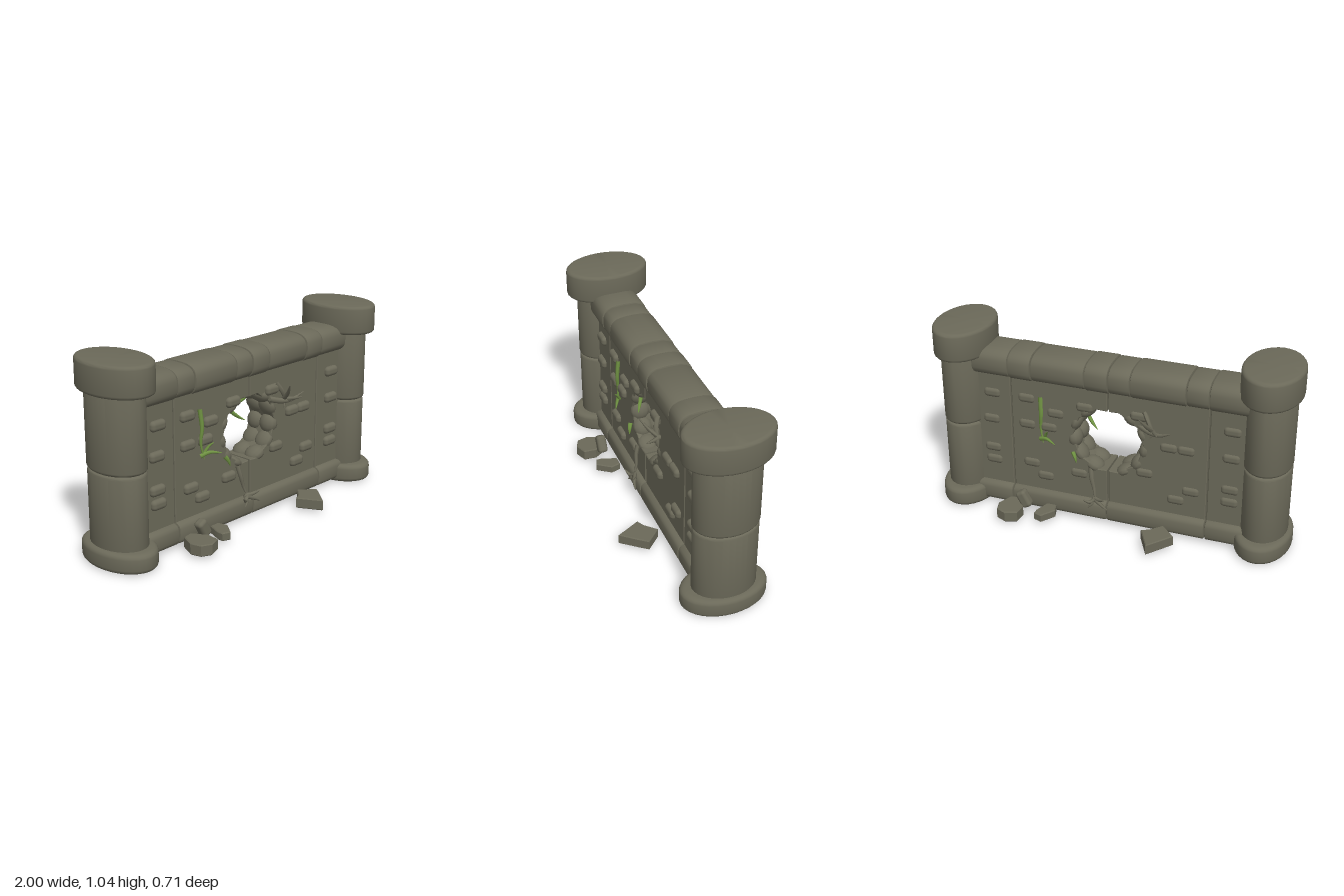
import * as THREE from 'three';
import { toCreasedNormals } from 'three/addons/utils/BufferGeometryUtils.js';
import { RoundedBoxGeometry } from 'three/addons/geometries/RoundedBoxGeometry.js';

export function createModel() {
  const root = new THREE.Group();
  root.name = 'ruinedWall';
  const stone = new THREE.MeshStandardMaterial({ color: 0x6b6959 });
  stone.name = 'stone';
  const vineGreen = new THREE.MeshStandardMaterial({ color: 0x6f9142 });
  vineGreen.name = 'vineGreen';

  function add(parent, name, geo, mat = stone) {
    const mesh = new THREE.Mesh(geo, mat);
    mesh.name = name;
    parent.add(mesh);
    return mesh;
  }
  const V = (x, y, z) => new THREE.Vector3(x, y, z);
  const shapeOf = pts => new THREE.Shape(pts.map(p => new THREE.Vector2(p[0], p[1])));

  // Extrusion whose bevel stays inside the outline
  function slab(shape, depth, bevel, steps = 2) {
    const geo = new THREE.ExtrudeGeometry(shape, {
      depth: depth - 2 * bevel, bevelEnabled: true, bevelSize: bevel, bevelOffset: -bevel,
      bevelThickness: bevel, bevelSegments: steps, curveSegments: 8,
    });
    geo.translate(0, 0, bevel);
    return toCreasedNormals(geo, 0.6);
  }

  // Rounded bar section running along x
  function bar(x0, x1, y0, y1, halfZ, power) {
    const pts = [];
    for (let i = 0; i < 32; i++) {
      const a = i / 32 * Math.PI * 2, c = Math.cos(a), s = Math.sin(a);
      pts.push([
        Math.sign(c) * Math.abs(c) ** (2 / power) * halfZ,
        (y0 + y1) / 2 + Math.sign(s) * Math.abs(s) ** (2 / power) * (y1 - y0) / 2,
      ]);
    }
    const geo = slab(shapeOf(pts), x1 - x0, 0.008);
    geo.rotateY(Math.PI / 2);
    geo.translate(x0, 0, 0);
    return geo;
  }

  // Stone drum with rounded rims, oval in plan
  function drum(rx, rz, y0, y1, round) {
    const pts = [new THREE.Vector2(0, y0)];
    for (const [cy, start] of [[y0 + round, -Math.PI / 2], [y1 - round, 0]]) {
      for (let i = 0; i <= 4; i++) {
        const a = start + i / 4 * Math.PI / 2;
        pts.push(new THREE.Vector2(rx - round + Math.cos(a) * round, cy + Math.sin(a) * round));
      }
    }
    pts.push(new THREE.Vector2(0, y1));
    const geo = new THREE.LatheGeometry(pts, 32);
    geo.scale(1, 1, rz / rx);
    return toCreasedNormals(geo, 0.6);
  }

  // Tapering stem swept through a few points
  function stem(points, radius, tip = 0.15) {
    const path = new THREE.CatmullRomCurve3(points);
    const rings = 12, sides = 7;
    const geo = new THREE.TubeGeometry(path, rings, radius, sides, false);
    const pos = geo.attributes.position, v = V(0, 0, 0);
    for (let i = 0; i < pos.count; i++) {
      const t = Math.floor(i / (sides + 1)) / rings;
      const centre = path.getPointAt(t);
      v.fromBufferAttribute(pos, i).sub(centre).multiplyScalar(1 - (1 - tip) * t ** 2).add(centre);
      pos.setXYZ(i, v.x, v.y, v.z);
    }
    geo.computeVertexNormals();
    return geo;
  }

  const wall = new THREE.Group();
  wall.name = 'wall';
  wall.position.z = -0.007;
  root.add(wall);

  // End pillars
  for (const side of [-1, 1]) {
    const pillar = new THREE.Group();
    pillar.name = side < 0 ? 'rightPillar' : 'leftPillar';
    pillar.position.x = side * 0.845;
    add(pillar, 'pillarBase', drum(0.152, 0.23, 0, 0.105, 0.025));
    add(pillar, 'lowerDrum', drum(0.125, 0.17, 0.09, 0.488, 0.015));
    add(pillar, 'upperDrum', drum(0.127, 0.174, 0.488, 0.9, 0.018));
    const cap = add(pillar, 'pillarCap', drum(0.158, 0.232, 0.883, 1.045, 0.018));
    cap.position.x = -side * 0.004;
    wall.add(pillar);
  }

  // Coping stones along the top
  const cuts = [-0.76, -0.55, -0.43, -0.13, -0.01, 0.12, 0.42, 0.55, 0.76];
  for (let i = 0; i < cuts.length - 1; i++) {
    const d = i % 2 ? 0.003 : 0;
    add(wall, 'copingStone', bar(cuts[i] + 0.002, cuts[i + 1] - 0.002, 0.775 + d, 0.942 - d, 0.13 - d, 3));
  }

  // Plinth stones along the bottom
  const plinthCuts = [-0.76, -0.55, 0, 0.55, 0.76];
  for (let i = 0; i < plinthCuts.length - 1; i++) {
    add(wall, 'plinthStone', bar(plinthCuts[i] + 0.003, plinthCuts[i + 1] - 0.003, 0.01, 0.137, 0.125, 4));
  }

  // Wall panels: two halves broken around the hole, and two narrow ends
  const half = [[0.005, 0.08], [0.546, 0.08], [0.546, 0.82], [0.005, 0.82]];
  for (let i = 0; i <= 20; i++) {
    const a = Math.PI / 2 - i / 20 * Math.PI;
    const r = 0.2 - 0.012 * Math.abs(Math.sin(a * 5));
    half.push([Math.max(0.005, Math.cos(a) * r), 0.5 + Math.sin(a) * r * 0.94]);
  }
  const end = [[0.553, 0.08], [0.76, 0.08], [0.76, 0.82], [0.553, 0.82]];
  for (const turn of [0, Math.PI]) {
    for (const [name, outline] of [['brokenPanel', half], ['endPanel', end]]) {
      const geo = slab(shapeOf(outline), 0.18, 0.004, 1);
      geo.translate(0, 0, -0.09);
      add(wall, name, geo).rotation.y = turn;
    }
  }

  // Rounded rubble lining the hole
  const rubble = [22, 52, -8, -36, -64, 128, 158, 188, 216, 244];
  rubble.forEach((deg, i) => {
    const a = deg * Math.PI / 180;
    for (const side of [-1, 1]) {
      const lump = add(wall, 'holeRubble', new THREE.SphereGeometry(1, 12, 8));
      lump.position.set(Math.cos(a) * 0.202, 0.5 + Math.sin(a) * 0.19, side * 0.045);
      lump.rotation.z = a;
      lump.scale.set(0.03 + (i % 3) * 0.005, 0.056, 0.055);
    }
  });

  // Details on one face, repeated on the other by a half turn
  const bricks = [
    [-0.66, 0.68], [-0.67, 0.522], [-0.67, 0.345], [-0.665, 0.27], [-0.46, 0.68], [-0.295, 0.615],
    [-0.46, 0.525], [-0.335, 0.525], [-0.44, 0.29], [-0.165, 0.275], [-0.36, 0.22], [-0.13, 0.68],
    [0.17, 0.68], [0.335, 0.525], [0.43, 0.525], [0.205, 0.35], [0.46, 0.285], [0.38, 0.22],
    [0.67, 0.68], [0.67, 0.525], [0.67, 0.34], [0.67, 0.265],
  ];
  const vines = [
    [0.012, [[-0.38, 0.7, 0.095], [-0.375, 0.6, 0.105], [-0.38, 0.52, 0.1], [-0.365, 0.43, 0.11]]],
    [0.011, [[-0.385, 0.45, 0.1], [-0.34, 0.465, 0.12], [-0.28, 0.455, 0.15]]],
    [0.009, [[-0.36, 0.46, 0.1], [-0.34, 0.5, 0.12], [-0.325, 0.52, 0.14]]],
    [0.012, [[-0.2, 0.4, 0.095], [-0.185, 0.375, 0.105], [-0.175, 0.345, 0.11]]],
    [0.011, [[-0.12, 0.62, 0.06], [-0.09, 0.59, 0.08], [-0.055, 0.565, 0.1]]],
  ];
  const roots = [
    [0.014, [[0.2, 0.71, 0.09], [0.23, 0.66, 0.11], [0.25, 0.61, 0.11], [0.235, 0.57, 0.12]]],
    [0.016, [[0.16, 0.625, 0.08], [0.24, 0.605, 0.11], [0.3, 0.61, 0.13], [0.36, 0.64, 0.15]]],
    [0.013, [[0.25, 0.61, 0.1], [0.23, 0.66, 0.15], [0.2, 0.715, 0.19]]],
    [0.012, [[0.25, 0.61, 0.1], [0.28, 0.62, 0.15], [0.3, 0.63, 0.19]]],
    [0.013, [[-0.1, 0.32, 0.09], [-0.09, 0.26, 0.105], [-0.075, 0.2, 0.11], [-0.06, 0.14, 0.13]]],
    [0.013, [[-0.075, 0.15, 0.12], [-0.03, 0.13, 0.14], [0.015, 0.105, 0.15]]],
    [0.013, [[-0.06, 0.15, 0.12], [-0.09, 0.13, 0.14], [-0.12, 0.15, 0.16]]],
    [0.012, [[-0.07, 0.15, 0.12], [-0.03, 0.155, 0.14], [0.0, 0.17, 0.16]]],
    [0.012, [[-0.07, 0.15, 0.12], [-0.08, 0.12, 0.14], [-0.1, 0.1, 0.15]]],
  ];
  // Fallen slabs: bottom, top, outline in x and z
  const slabs = [
    [0.015, 0.075, [[0.23, 0.22], [0.27, 0.2], [0.33, 0.14], [0.41, 0.22], [0.37, 0.27], [0.3, 0.353]]],
    [0.015, 0.078, [[-0.59, 0.23], [-0.555, 0.15], [-0.5, 0.14], [-0.45, 0.22], [-0.455, 0.29], [-0.52, 0.315], [-0.575, 0.29]]],
    [0.02, 0.066, [[-0.375, 0.21], [-0.345, 0.13], [-0.29, 0.13], [-0.275, 0.185], [-0.33, 0.26], [-0.375, 0.245]]],
  ];
  for (const turn of [0, Math.PI]) {
    const face = new THREE.Group();
    face.name = turn ? 'backDetails' : 'frontDetails';
    face.rotation.y = turn;
    root.add(face);

    for (const [x, y] of bricks) {
      add(face, 'raisedBrick', new RoundedBoxGeometry(0.098, 0.056, 0.05, 3, 0.022)).position.set(x, y, 0.083);
    }
    for (const [list, name, mat] of [[vines, 'vine', vineGreen], [roots, 'root', stone]]) {
      for (const [radius, pts] of list) add(face, name, stem(pts.map(p => V(...p)), radius), mat);
    }
    for (const [y0, y1, outline] of slabs) {
      const geo = slab(shapeOf(outline.map(([x, z]) => [x, -z])), y1 - y0, 0.005, 1);
      geo.rotateX(-Math.PI / 2);
      geo.translate(0, y0, 0);
      add(face, 'fallenSlab', geo);
    }
    // Small leaning stone
    const leaning = add(face, 'leaningStone', new RoundedBoxGeometry(0.06, 0.1, 0.055, 3, 0.018));
    leaning.position.set(-0.455, 0.105, 0.185);
    leaning.rotation.z = 0.5;
  }
  return root;
}
